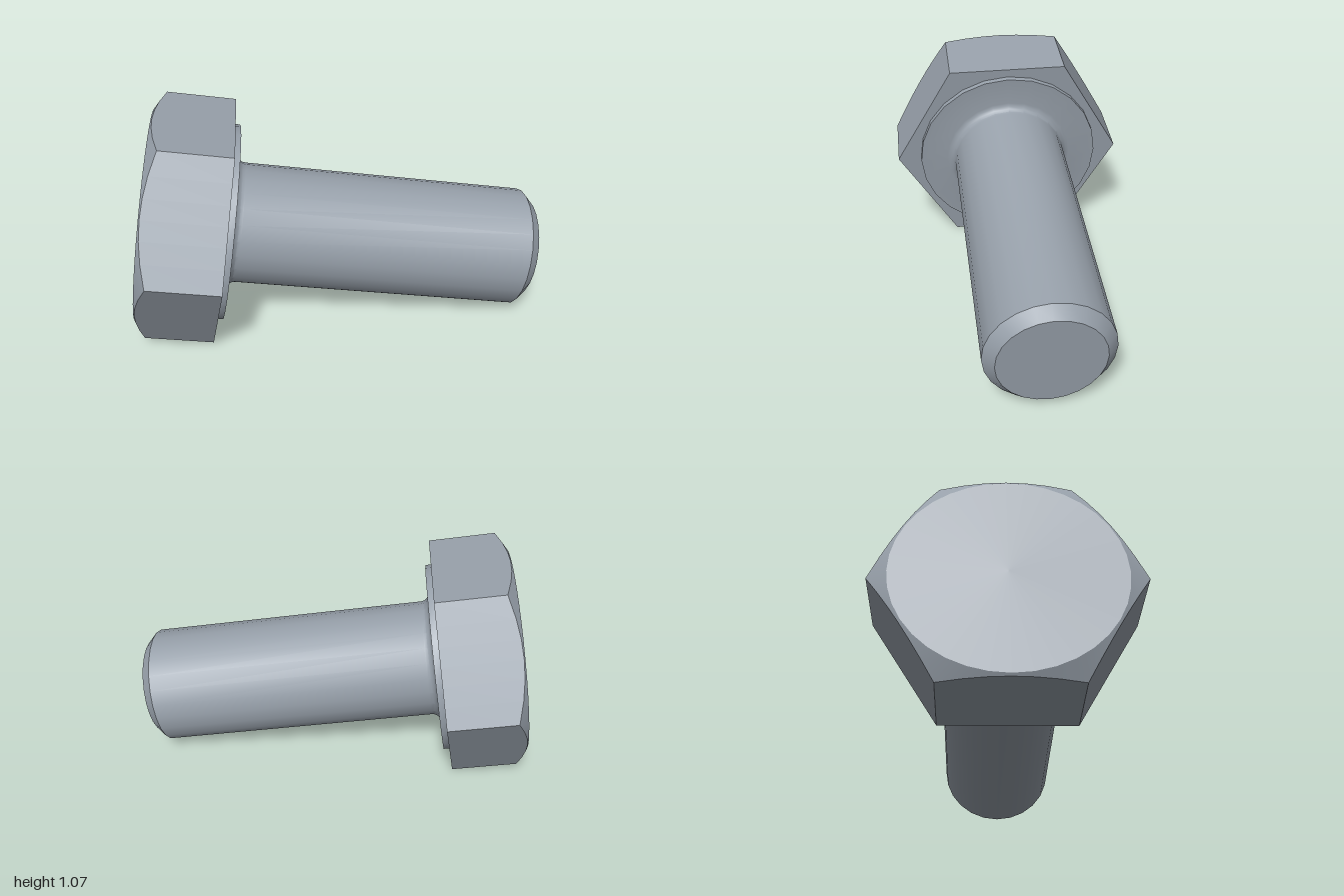
import * as THREE from 'three';
import { toCreasedNormals } from 'three/addons/utils/BufferGeometryUtils.js';

const CREASE = 0.45;

// Hexagonal head: rings swept from the back centre, over the 30 degree chamfer, to the underside
function headGeometry(cornerRadius, discRadius, height, perSide) {
  const count = perSide * 6;
  const apothem = cornerRadius * Math.cos(Math.PI / 6);
  const rings = [[], [], [], [], []];
  for (let i = 0; i <= count; i++) {
    const angle = (i / count) * Math.PI * 2;
    const fromMiddle = (angle % (Math.PI / 3)) - Math.PI / 6;
    const edge = apothem / Math.cos(fromMiddle);
    const chamferDrop = (edge - discRadius) * Math.tan(Math.PI / 6);
    const at = (r, y) => [r * Math.cos(angle), y, r * Math.sin(angle)];
    rings[0].push(at(0, -height));
    rings[1].push(at(discRadius, -height));
    rings[2].push(at(edge, -height + chamferDrop));
    rings[3].push(at(edge, 0));
    rings[4].push(at(0, 0));
  }
  const positions = [];
  for (let k = 0; k < 4; k++) {
    const low = rings[k], high = rings[k + 1];
    for (let i = 0; i < count; i++) {
      if (k > 0) positions.push(...low[i], ...high[i], ...low[i + 1]);
      if (k < 3) positions.push(...high[i], ...high[i + 1], ...low[i + 1]);
    }
  }
  const geometry = new THREE.BufferGeometry();
  geometry.setAttribute('position', new THREE.Float32BufferAttribute(positions, 3));
  return toCreasedNormals(geometry, CREASE);
}

// Washer face, root fillet, shank and chamfered tip in one turned profile
function shankGeometry() {
  const radius = 0.29, length = 1.497, chamfer = 0.05, fillet = 0.04, washer = 0.03;
  const profile = [new THREE.Vector2(0.47, 0), new THREE.Vector2(0.47, washer)];
  for (let i = 0; i <= 4; i++) {
    const a = (i / 4) * Math.PI / 2;
    profile.push(new THREE.Vector2(
      radius + fillet * (1 - Math.sin(a)),
      washer + fillet * (1 - Math.cos(a))
    ));
  }
  profile.push(
    new THREE.Vector2(radius, length - chamfer),
    new THREE.Vector2(radius - chamfer, length),
    new THREE.Vector2(0, length)
  );
  return toCreasedNormals(new THREE.LatheGeometry(profile, 24), CREASE);
}

export function createModel() {
  const steel = new THREE.MeshStandardMaterial({ color: 0x98a1ab });
  steel.name = 'steel';

  const bolt = new THREE.Group();
  bolt.name = 'hexBolt';

  const head = new THREE.Mesh(headGeometry(0.59, 0.5, 0.38, 6), steel);
  head.name = 'hexHead';
  const shank = new THREE.Mesh(shankGeometry(), steel);
  shank.name = 'shank';
  bolt.add(head, shank);

  // Tilt the bolt: its axis is local y, one head corner lies along local x
  const axis = new THREE.Vector3(0.967, -0.153, 0.204).normalize();
  const corner = new THREE.Vector3(-axis.z, 0, axis.x).normalize();
  const side = new THREE.Vector3().crossVectors(corner, axis);
  bolt.quaternion.setFromRotationMatrix(new THREE.Matrix4().makeBasis(corner, axis, side));
  bolt.position.set(-0.507, 0.51, 0.032);

  const model = new THREE.Group();
  model.name = 'model';
  model.add(bolt);
  return model;
}
